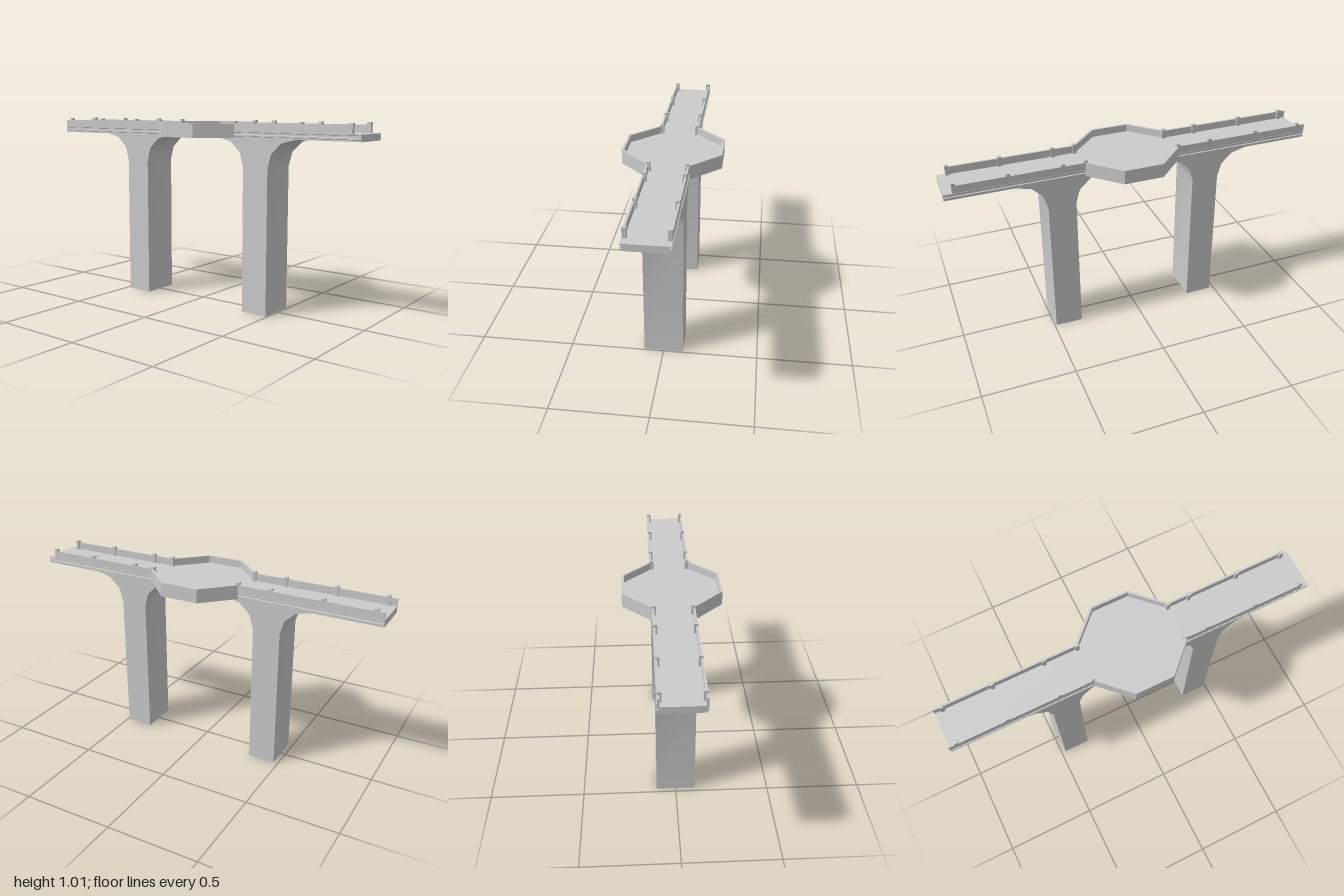
import * as THREE from 'three';
import { toCreasedNormals } from 'three/addons/utils/BufferGeometryUtils.js';

const BOTTOM = 0.925, FLOOR = 0.96, TOP = 1.0;
const END_L = -0.235, END_R = 0.285; // where the platform meets the spans

export function createModel() {
  const group = new THREE.Group();
  const material = new THREE.MeshStandardMaterial({ color: 0xcccccc });

  const add = (name, geometry) => {
    const mesh = new THREE.Mesh(geometry, material);
    mesh.name = name;
    group.add(mesh);
    return mesh;
  };
  const shapeOf = (pts) => new THREE.Shape(pts.map(([x, y]) => new THREE.Vector2(x, y)));
  const extrude = (pts, depth) =>
    new THREE.ExtrudeGeometry(shapeOf(pts), { depth, bevelEnabled: false });
  const box = (name, x0, x1, y0, y1, z0, z1) => {
    const mesh = add(name, new THREE.BoxGeometry(x1 - x0, y1 - y0, z1 - z0));
    mesh.position.set((x0 + x1) / 2, (y0 + y1) / 2, (z0 + z1) / 2);
  };
  // Plan outline in (x, z), raised from y0 to y1
  const slab = (name, pts, y0, y1) => {
    const geometry = extrude(pts.map(([x, z]) => [x, -z]), y1 - y0);
    geometry.rotateX(-Math.PI / 2).translate(0, y0, 0);
    add(name, geometry);
  };

  // Deck spans with a grooved edge
  const edge = [
    [0.104, BOTTOM], [0.104, 0.933], [0.11, 0.935], [0.11, 0.942],
    [0.104, 0.944], [0.104, 0.953], [0.11, 0.955], [0.11, FLOOR],
  ];
  const section = [...edge, ...edge.map(([z, y]) => [-z, y]).reverse()];
  for (const [x0, x1] of [[-1, END_L], [END_R, 1]]) {
    const geometry = extrude(section, x1 - x0);
    geometry.rotateY(Math.PI / 2).translate(x0, 0, 0);
    add('deckSpan', geometry);
  }

  // Octagonal platform floor
  const half = [[END_L, 0.108], [-0.08, 0.262], [0.13, 0.262], [END_R, 0.108]];
  const inner = [[END_R - 0.005, 0.096], [0.125, 0.25], [-0.075, 0.25], [END_L + 0.005, 0.096]];
  const mirrored = half.map(([x, z]) => [x, -z]).reverse();
  slab('platformFloor', [...half, ...mirrored], BOTTOM, FLOOR);

  const posts = [-0.957, -0.693, -0.415, -0.232, 0.28, 0.4, 0.68, 0.946];
  for (const s of [1, -1]) {
    // Platform parapet
    slab('platformParapet', [...half, ...inner].map(([x, z]) => [x, z * s]), FLOOR, TOP);

    // Span parapets and their posts
    const z = 0.103 * s;
    box('parapet', -1, END_L, FLOOR, TOP, z - 0.005, z + 0.005);
    box('parapet', END_R, 0.956, FLOOR, TOP, z - 0.005, z + 0.005);
    for (const x of posts)
      box('parapetPost', x - 0.01, x + 0.01, FLOOR, 1.012, s * 0.098 - 0.01, s * 0.098 + 0.01);
  }

  // Piers flaring out under the deck
  const w = 0.075, rx = 0.16, ry = 0.15;
  const side = [[w, 0]];
  for (let i = 0; i <= 3; i++) {
    const a = (i / 3) * Math.PI / 2;
    side.push([w + rx * (1 - Math.cos(a)), BOTTOM - ry * (1 - Math.sin(a))]);
  }
  const pierOutline = [...side, ...side.map(([x, y]) => [-x, y]).reverse()];
  for (const x of [-0.4, 0.415]) {
    const geometry = extrude(pierOutline, 0.208).translate(x, 0, -0.104);
    add('pier', toCreasedNormals(geometry, 0.7));
  }

  return group;
}
